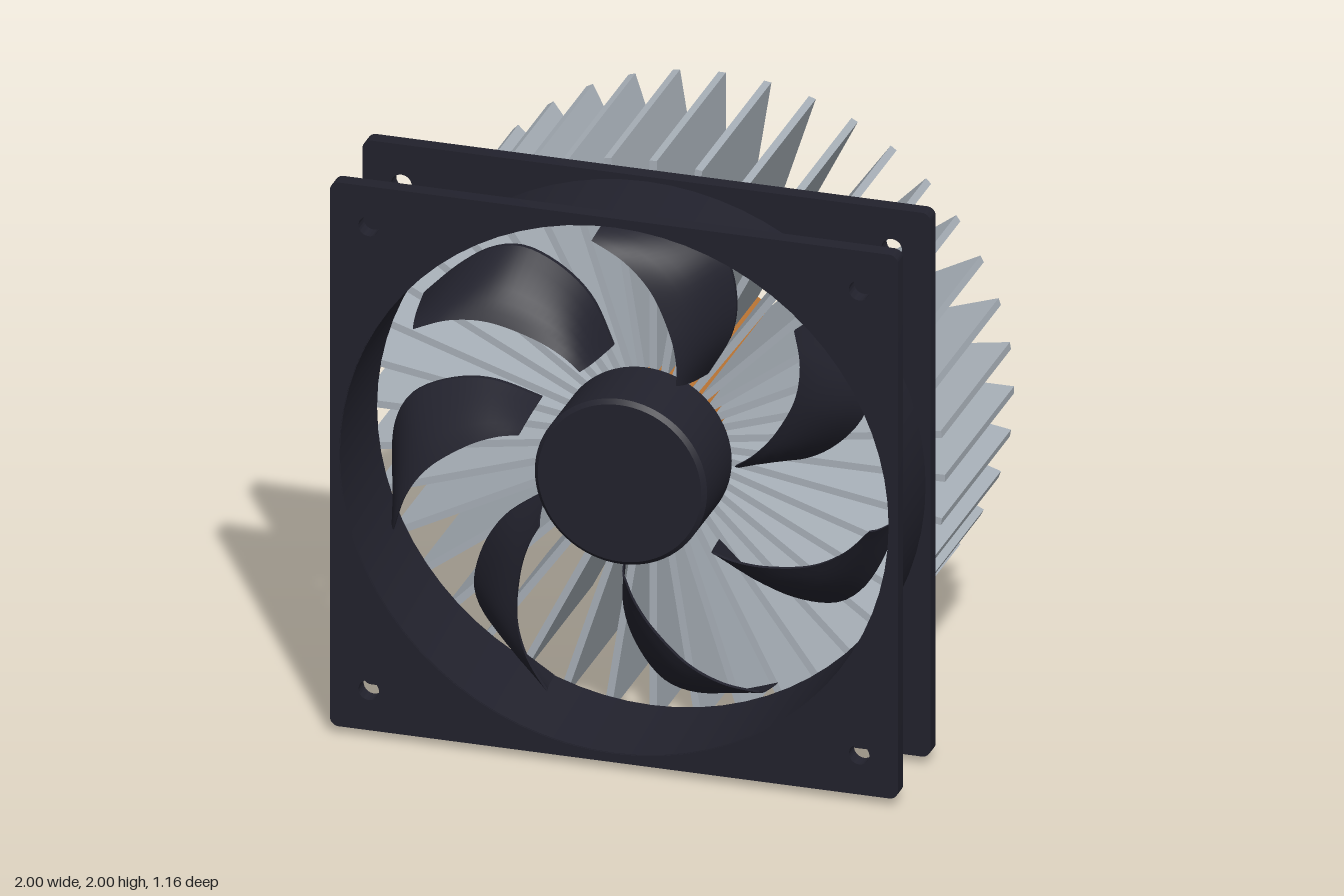
import * as THREE from 'three';
import { toCreasedNormals } from 'three/addons/utils/BufferGeometryUtils.js';

const mat = (name, hex) => {
  const m = new THREE.MeshStandardMaterial({ color: hex });
  m.name = name;
  return m;
};

export function createModel() {
  const plastic = mat('darkPlastic', 0x22222d);
  const aluminium = mat('aluminium', 0xa8b0b8);
  const copper = mat('copper', 0xb87333);

  const model = new THREE.Group();
  model.name = 'cpuCooler';
  const assembly = new THREE.Group(); // everything is built around the fan axis
  assembly.name = 'coolerAssembly';
  assembly.position.y = 1;
  model.add(assembly);

  const add = (parent, name, geometry, material) => {
    const mesh = new THREE.Mesh(geometry, material);
    mesh.name = name;
    parent.add(mesh);
    return mesh;
  };
  // Profile of [radius, z] points turned around the z axis
  const turned = (points) => toCreasedNormals(
    new THREE.LatheGeometry(points.map(([r, z]) => new THREE.Vector2(r, z)), 72).rotateX(Math.PI / 2), 0.6);

  // Heat sink: copper core with radial fins
  const heatSink = new THREE.Group();
  heatSink.name = 'heatSink';
  assembly.add(heatSink);
  add(heatSink, 'copperCore', turned([[0, -0.581], [0.245, -0.581], [0.245, 0.161], [0, 0.161]]), copper);
  const finCount = 40, inner = 0.235, outer = 1;
  const finGeometry = new THREE.BoxGeometry(outer - inner, 0.025, 0.74).translate((outer + inner) / 2, 0, -0.21);
  for (let i = 0; i < finCount; i++) {
    add(heatSink, 'fin', finGeometry, aluminium).rotation.z = (i / finCount) * Math.PI * 2;
  }

  // Fan frame: two square flanges joined by a round duct
  const frame = new THREE.Group();
  frame.name = 'fanFrame';
  assembly.add(frame);
  const h = 0.973, r = 0.03;
  const square = new THREE.Shape();
  [[1, -1], [1, 1], [-1, 1], [-1, -1]].forEach(([sx, sy], i) => {
    const start = (i - 1) * Math.PI / 2;
    square.absarc(sx * (h - r), sy * (h - r), r, start, start + Math.PI / 2, false);
  });
  square.closePath();
  const hole = (x, y, radius) => square.holes.push(new THREE.Path().absarc(x, y, radius, 0, Math.PI * 2, true));
  hole(0, 0, 0.942);
  for (const sx of [-1, 1]) for (const sy of [-1, 1]) hole(sx * 0.84, sy * 0.83, 0.035);
  const flangeGeometry = toCreasedNormals(
    new THREE.ExtrudeGeometry(square, { depth: 0.055, bevelEnabled: false, curveSegments: 36 }), 0.6);
  add(frame, 'frontFlange', flangeGeometry, plastic).position.z = 0.525;
  add(frame, 'rearFlange', flangeGeometry, plastic).position.z = 0.175;
  add(frame, 'duct', turned([[0.956, 0.178], [0.956, 0.577], [0.94, 0.577], [0.94, 0.178], [0.956, 0.178]]), plastic);

  // Rotor hub with a small bevel
  const rotor = new THREE.Group();
  rotor.name = 'rotor';
  assembly.add(rotor);
  add(rotor, 'hub', turned([[0, 0.24], [0.295, 0.24], [0.295, 0.505], [0.28, 0.52], [0, 0.52]]), plastic);

  // Swept blade: a thin box stretched between its two edge curves, pitched in z
  const curve = (points) => new THREE.SplineCurve(points.map(([x, y]) => new THREE.Vector2(x, y)));
  const leading = curve([[-0.11, 0.835], [0, 0.77], [0.09, 0.67], [0.15, 0.53], [0.172, 0.42], [0.17, 0.34]]);
  const trailing = curve([[-0.09, 0.882], [0.07, 0.862], [0.2, 0.82], [0.285, 0.74], [0.318, 0.6], [0.3, 0.46], [0.22, 0.31]]);
  const bladeGeometry = new THREE.BoxGeometry(1, 1, 0.016, 28, 6, 1);
  const pos = bladeGeometry.attributes.position;
  for (let i = 0; i < pos.count; i++) {
    const s = pos.getX(i) + 0.5, v = pos.getY(i) + 0.5;
    const p = leading.getPointAt(s).lerp(trailing.getPointAt(s), v);
    const pitch = 0.47 - 0.19 * v + 0.03 * Math.sin(Math.PI * v) - 0.03 * s;
    pos.setXYZ(i, p.x, p.y, pitch + pos.getZ(i));
  }
  bladeGeometry.computeVertexNormals();
  for (let i = 0; i < 7; i++) {
    add(rotor, 'fanBlade', bladeGeometry, plastic).rotation.z = (i / 7) * Math.PI * 2;
  }

  return model;
}
